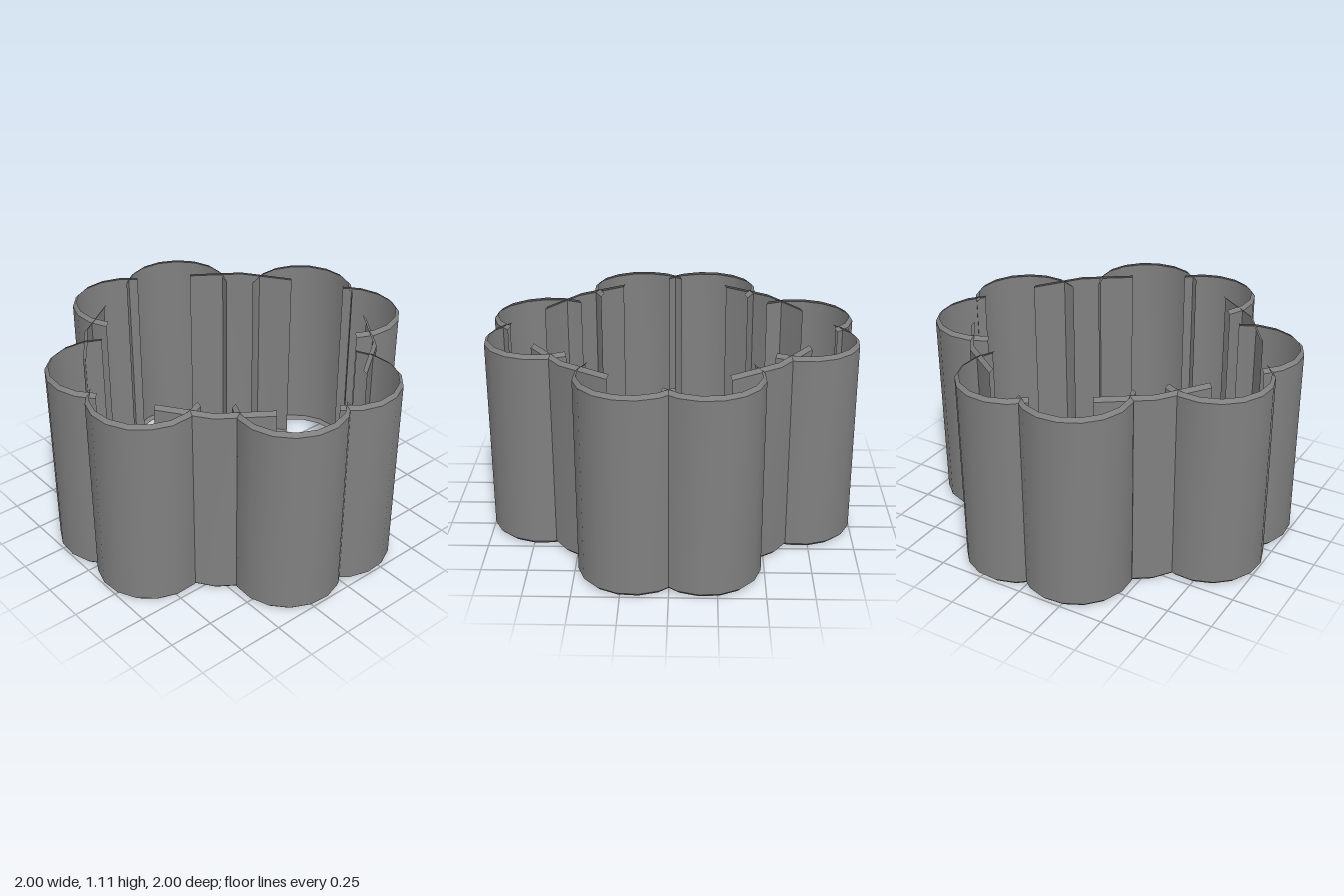
import * as THREE from 'three';

const HEIGHT = 1.11;
const EDGE = 0.02; // chamfer width and height along both rims

const material = new THREE.MeshStandardMaterial({ color: 0x808080, side: THREE.DoubleSide });

// Wall section as [outward offset, height]: lower chamfer, flat face, upper chamfer
const SECTION = [[0, 0], [EDGE, EDGE], [EDGE, HEIGHT - EDGE], [0, HEIGHT]];

// Sweeps the section along a plan path of (x, z) points; outward is left of travel seen from above
function wall(path, name) {
  const tangent = (a, b) => b.clone().sub(a).normalize();
  const last = path.length - 1;
  const normals = path.map((p, i) => {
    const t0 = tangent(path[Math.max(i - 1, 0)], path[Math.max(i, 1)]);
    const t1 = tangent(path[Math.min(i, last - 1)], path[Math.min(i + 1, last)]);
    const t = t0.clone().add(t1).normalize();
    return new THREE.Vector2(t.y, -t.x).divideScalar(t.dot(t0)); // mitred
  });

  // Each band has its own vertices, so the rims stay crisp and the curve smooth
  const positions = [];
  const indices = [];
  for (let s = 0; s < SECTION.length - 1; s++) {
    const base = positions.length / 3;
    path.forEach((p, i) => {
      for (const [out, y] of [SECTION[s], SECTION[s + 1]]) {
        positions.push(p.x + normals[i].x * out, y, p.y + normals[i].y * out);
      }
      if (i < last) {
        const a = base + i * 2;
        indices.push(a, a + 1, a + 2, a + 2, a + 1, a + 3);
      }
    });
  }
  const geometry = new THREE.BufferGeometry();
  geometry.setAttribute('position', new THREE.Float32BufferAttribute(positions, 3));
  geometry.setIndex(indices);
  geometry.computeVertexNormals();
  const mesh = new THREE.Mesh(geometry, material);
  mesh.name = name;
  return mesh;
}

// Nearly half-round lobe, faceted in eight steps
function lobePath() {
  const points = [];
  for (let i = 0; i <= 8; i++) {
    const angle = THREE.MathUtils.degToRad(-215 + (175.4 * i) / 8);
    points.push(new THREE.Vector2(-0.186 + 0.277 * Math.cos(angle), -0.706 + 0.277 * Math.sin(angle)));
  }
  return points;
}

const mirrorPath = (path) => path.map((p) => new THREE.Vector2(-p.x, p.y)).reverse();

export function createModel() {
  const model = new THREE.Group();
  model.name = 'scallopedRing';

  const lobe = lobePath();
  const corner = [[-0.722, -0.298], [-0.548, -0.548], [-0.298, -0.722]].map(([x, z]) => new THREE.Vector2(x, z));

  // Four equal sides: a pair of lobes and one bent corner panel each
  for (let k = 0; k < 4; k++) {
    const side = new THREE.Group();
    side.name = `side${k + 1}`;
    side.add(
      wall(lobe, 'firstLobe'),
      wall(mirrorPath(lobe), 'secondLobe'),
      wall(corner, 'cornerPanel'),
    );
    side.rotation.y = (k * Math.PI) / 2;
    model.add(side);
  }
  return model;
}
